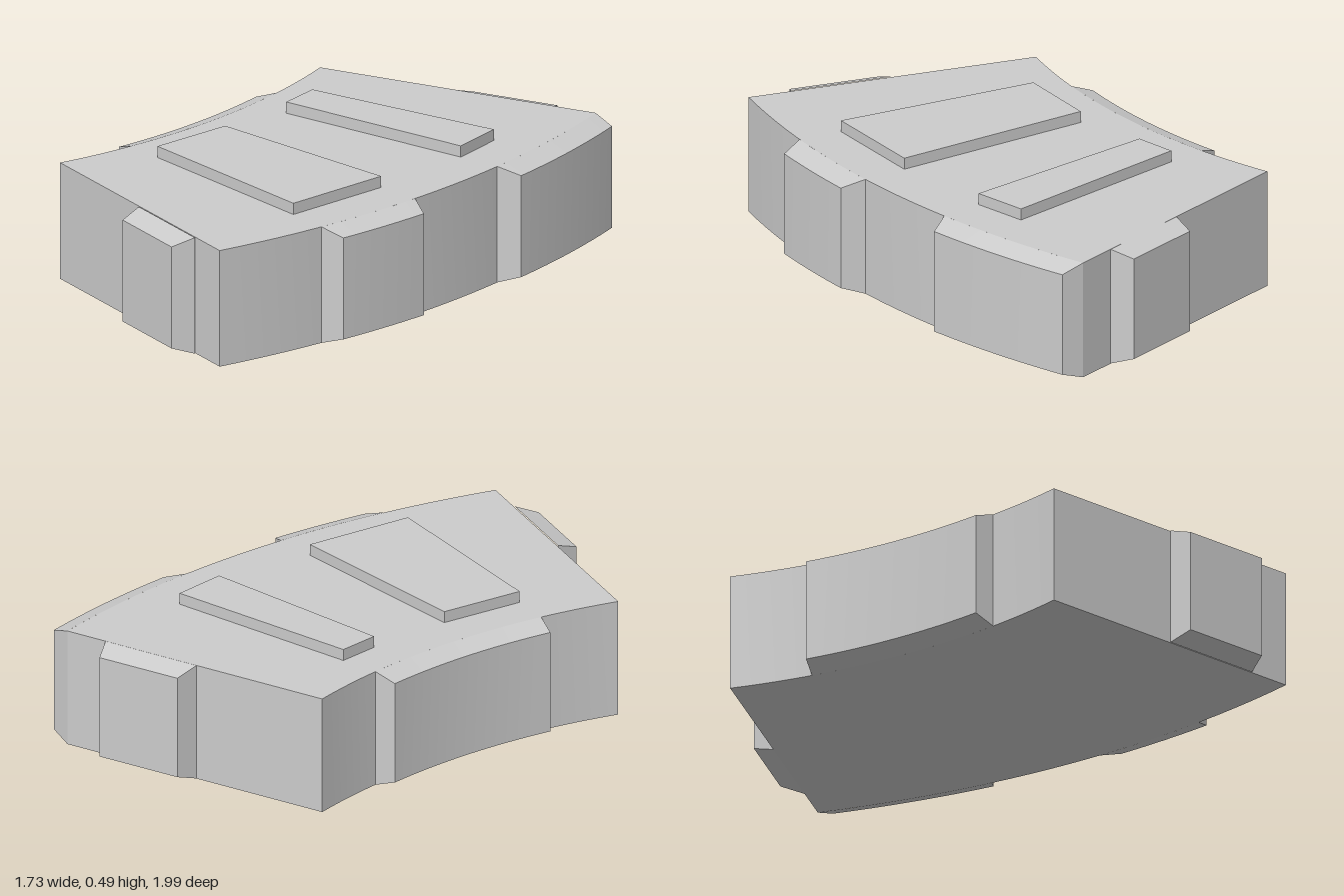
import * as THREE from 'three';
import { toCreasedNormals } from 'three/addons/utils/BufferGeometryUtils.js';

const CX = -2.78, CZ = -1.305;          // centre of curvature (x, z)
const R_IN = 2.49, R_OUT = 3.6;         // inner and outer radius of the block
const A0 = 7.24, A1 = 39.7;             // end angles in degrees
const H = 0.445, CHAMFER = 0.028, DEPTH = 0.082;

const material = new THREE.MeshStandardMaterial({ color: 0xcccccc });

// Points [x, z] along an arc around the centre of curvature
function arc(radius, from, to, n) {
  return Array.from({ length: n + 1 }, (_, i) => {
    const a = THREE.MathUtils.degToRad(from + (to - from) * i / n);
    return [CX + radius * Math.cos(a), CZ + radius * Math.sin(a)];
  });
}

function addMesh(group, name, geometry) {
  const mesh = new THREE.Mesh(toCreasedNormals(geometry, 0.3), material);
  mesh.name = name;
  group.add(mesh);
}

// Flat slab with a plan outline of [x, z] points
function slab(outline, y, height) {
  const shape = new THREE.Shape(outline.map(([x, z]) => new THREE.Vector2(x, -z)));
  const geometry = new THREE.ExtrudeGeometry(shape, { depth: height, bevelEnabled: false });
  return geometry.rotateX(-Math.PI / 2).translate(0, y, 0);
}

// Raised side pad: tapers from the base path to the outer path.
// Paths run left to right as seen from outside.
function pad(base, outer) {
  const sections = base.map(([x, z], i) => {
    const [ox, oz] = outer[i];
    return [[x, 0, z], [ox, CHAMFER, oz], [ox, H - CHAMFER, oz], [x, H, z]];
  });
  const positions = [];
  const quad = (a, b, c, d) => positions.push(...a, ...b, ...c, ...a, ...c, ...d);
  for (let i = 0; i < sections.length - 1; i++) {
    const s = sections[i], t = sections[i + 1];
    for (let k = 0; k < 3; k++) quad(s[k], t[k], t[k + 1], s[k + 1]);
  }
  const first = sections[0], last = sections[sections.length - 1];
  quad(first[0], first[1], first[2], first[3]);
  quad(last[3], last[2], last[1], last[0]);
  const geometry = new THREE.BufferGeometry();
  geometry.setAttribute('position', new THREE.Float32BufferAttribute(positions, 3));
  return geometry;
}

export function createModel() {
  const group = new THREE.Group();
  group.name = 'curvedBlock';

  // Main curved body
  addMesh(group, 'body', slab([...arc(R_IN, A0, A1, 24), ...arc(R_OUT, A1, A0, 24)], 0, H));

  // Pads on the curved sides: [name, radius, direction, base angles, outer angles]
  const sidePads = [
    ['outerBackPad', R_OUT, 1, [18.05, A0], [17.5, 7.75]],
    ['outerFrontPad', R_OUT, 1, [32.56, 25.3], [32.0, 25.9]],
    ['innerPad', R_IN, -1, [14.5, 32.5], [14.8, 32.25]],
  ];
  for (const [name, r, dir, b, o] of sidePads) {
    addMesh(group, name, pad(arc(r, ...b, 12), arc(r + dir * DEPTH, ...o, 12)));
  }

  // Pads on the straight ends
  addMesh(group, 'frontPad', pad(
    [[-0.44, 0.643], [-0.14, 0.892]], [[-0.475, 0.722], [-0.213, 0.94]]));
  addMesh(group, 'backPad', pad(
    [[0.627, -0.871], [0.233, -0.921]], [[0.608, -0.958], [0.272, -1.0]]));

  // Raised plates on top
  addMesh(group, 'backPlate', slab(
    [[-0.22, -0.643], [0.54, -0.45], [0.485, -0.242], [-0.265, -0.485]], H, 0.043));
  addMesh(group, 'frontPlate', slab(
    [[-0.39, -0.17], [0.32, 0.16], [0.115, 0.54], [-0.55, 0.118]], H, 0.043));

  return group;
}
